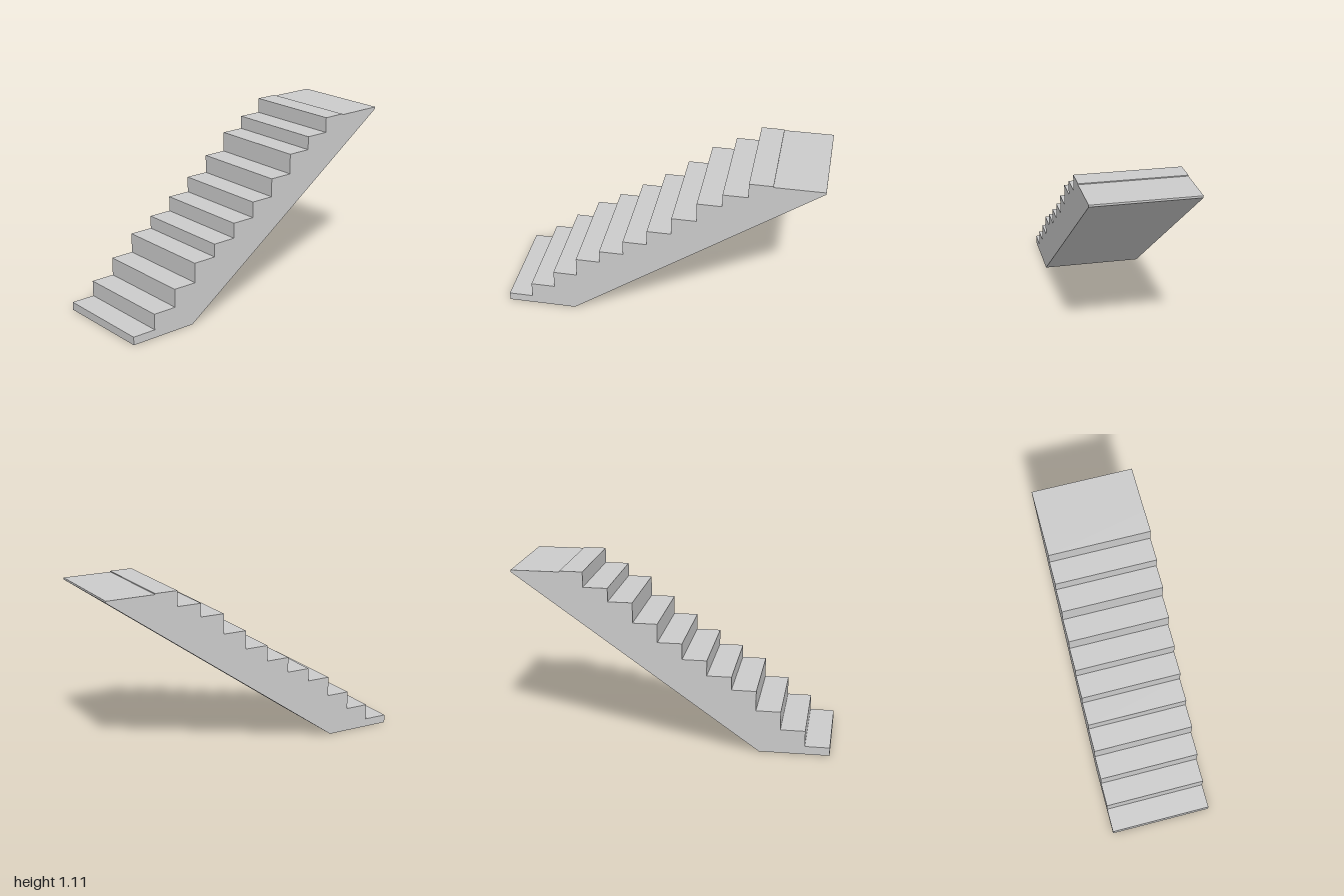
import * as THREE from 'three';

const WIDTH = 0.65;
const TREAD = 0.1545;
// uneven tread heights, bottom to top
const HEIGHTS = [0.052, 0.153, 0.27, 0.397, 0.481, 0.579, 0.681, 0.799, 0.928, 1.013, 1.11];

export function createModel() {
  const group = new THREE.Group();
  group.name = 'staircase';

  // side profile, drawn as (z, y)
  const profile = new THREE.Shape();
  profile.moveTo(0.56, 0);
  profile.lineTo(1, 0);
  HEIGHTS.forEach((y, i) => {
    const z = 1 - i * TREAD;
    profile.lineTo(z, y); // riser
    if (i < HEIGHTS.length - 1) profile.lineTo(z - TREAD, y); // tread
  });
  // landing with a slight drop, then the thin back edge
  profile.lineTo(-0.69, 1.11);
  profile.lineTo(-0.69, 1.104);
  profile.lineTo(-1, 1.104);
  profile.lineTo(-1, 1.092);
  profile.closePath(); // sloping underside

  // sweep the profile across the width
  const geometry = new THREE.ExtrudeGeometry(profile, { depth: WIDTH, bevelEnabled: false });
  geometry.translate(0, 0, -WIDTH / 2);
  geometry.rotateY(-Math.PI / 2);

  const flight = new THREE.Mesh(
    geometry,
    new THREE.MeshStandardMaterial({ color: 0xcccccc, flatShading: true })
  );
  flight.name = 'stairFlight';
  group.add(flight);
  return group;
}
